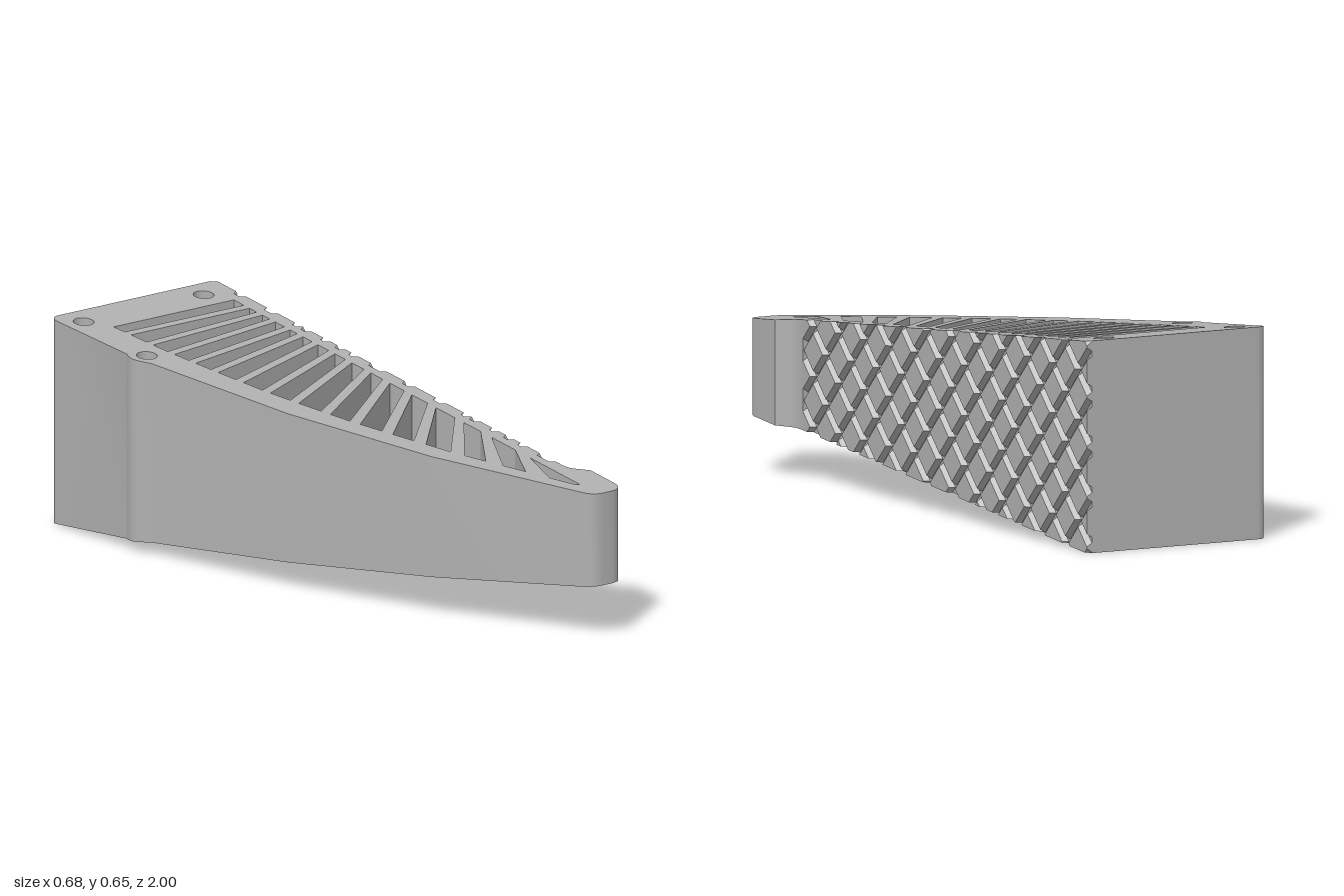
import * as THREE from 'three';
import { mergeGeometries, toCreasedNormals } from 'three/addons/utils/BufferGeometryUtils.js';
import { ConvexGeometry } from 'three/addons/geometries/ConvexGeometry.js';

const MID = 0.3275; // height of the symmetry plane
const half = z => 0.2375 - 0.09 * z; // half height, tapering towards the tip
const FACE = 0.29, GROOVE = 0.272; // grip surface and groove floor in x

// plan-view point: shape y is -z
const pt = ([x, z]) => new THREE.Vector2(x, -z);

// inner edge of the curved outer wall
const INNER = [[-0.22, -0.84], [-0.2, -0.6], [-0.175, -0.42], [-0.14, -0.2], [-0.1, -0.02],
  [-0.06, 0.14], [0, 0.33], [0.065, 0.52], [0.125, 0.66], [0.175, 0.78], [0.228, 0.905]];
function innerX(z) {
  let i = 0;
  while (i < INNER.length - 2 && z > INNER[i + 1][1]) i++;
  const [a, b] = [INNER[i], INNER[i + 1]];
  return a[0] + (b[0] - a[0]) * (z - a[1]) / (b[1] - a[1]);
}

// ribs: z at the outer wall and z at the grip wall
const RIBS = [[-0.775, -0.775], [-0.675, -0.71], [-0.58, -0.645], [-0.49, -0.57], [-0.395, -0.505],
  [-0.29, -0.43], [-0.18, -0.345], [-0.07, -0.26], [0.05, -0.165], [0.16, -0.07], [0.275, 0.04],
  [0.39, 0.16], [0.52, 0.3], [0.64, 0.435], [0.78, 0.62]];

function bodyShape() {
  const s = new THREE.Shape();
  s.moveTo(GROOVE, 1);
  s.lineTo(-0.31, 1);
  s.quadraticCurveTo(-0.345, 1, -0.344, 0.96); // rounded back corner
  s.lineTo(-0.322, 0.64);
  s.quadraticCurveTo(-0.34, 0.6, -0.325, 0.575); // boss around the side hole
  s.lineTo(-0.303, 0.535);
  s.lineTo(-0.19, 0);
  s.lineTo(-0.02, -0.5);
  s.lineTo(0.205, -0.965);
  s.quadraticCurveTo(0.22, -0.998, 0.255, -1); // rounded tip
  s.lineTo(0.295, -1);
  s.quadraticCurveTo(0.34, -0.995, 0.34, -0.95);
  s.lineTo(0.34, -0.83);
  s.lineTo(0.305, -0.795);
  s.quadraticCurveTo(FACE, -0.78, FACE, -0.745);
  s.lineTo(GROOVE, -0.745);
  s.closePath();

  // screw holes
  for (const [x, z] of [[-0.275, -0.92], [0.185, -0.92], [-0.275, -0.6]])
    s.holes.push(new THREE.Path().absarc(x, -z, 0.032, 0, Math.PI * 2, true));

  // openings between neighbouring ribs
  const R = 0.24, n = RIBS.length;
  const t = RIBS.map(([l, r]) => 0.0145 * Math.hypot(1, (l - r) / (R - innerX(l))));
  for (let i = 0; i <= n; i++) {
    const l0 = i ? RIBS[i - 1][0] + t[i - 1] : -0.84;
    const r0 = i ? RIBS[i - 1][1] + t[i - 1] : -0.84;
    const l1 = i < n ? RIBS[i][0] - t[i] : 0.905;
    const r1 = i < n ? RIBS[i][1] - t[i] : 0.91;
    s.holes.push(new THREE.Path([[innerX(l0), l0], [R, r0], [R, r1], [innerX(l1), l1]].map(pt)));
  }
  return s;
}

function bodyGeometry() {
  const g = new THREE.ExtrudeGeometry(bodyShape(), { depth: 1, bevelEnabled: false, curveSegments: 10 });
  g.rotateX(-Math.PI / 2);
  const p = g.attributes.position;
  for (let i = 0; i < p.count; i++) // taper in height along z
    p.setY(i, MID + (p.getY(i) * 2 - 1) * half(p.getZ(i)));
  return toCreasedNormals(g, 0.45);
}

// limits of the grip surface, positive inside; points are [z, height above MID]
const LIMITS = [([z]) => z + 1, ([z]) => 0.745 - z,
  ([z, y]) => half(z) - y, ([z, y]) => half(z) + y];
function clip(poly) {
  for (const f of LIMITS) {
    const out = [];
    poly.forEach((a, i) => {
      const b = poly[(i + 1) % poly.length], fa = f(a), fb = f(b);
      if (fa >= 0) out.push(a);
      if (fa * fb < 0) {
        const k = fa / (fa - fb);
        out.push([a[0] + (b[0] - a[0]) * k, a[1] + (b[1] - a[1]) * k]);
      }
    });
    poly = out;
  }
  return poly;
}
function area(poly) {
  return Math.abs(poly.reduce((sum, a, i) => {
    const b = poly[(i + 1) % poly.length];
    return sum + a[0] * b[1] - a[1] * b[0];
  }, 0)) / 2;
}

// raised diamonds left between two families of diagonal grooves
function gripGeometry() {
  const P = 0.155, pads = [];
  const diamond = (z, y, r) => clip([[z + r, y], [z, y + r], [z - r, y], [z, y - r]]);
  for (let i = 0; i < 26; i++) {
    for (let j = -6; j <= 6; j++) {
      if ((i + j) % 2) continue;
      const z = 0.76 - i * P / 2, y = j * P / 2;
      const base = diamond(z, y, P / 2 - 0.008), top = diamond(z, y, P / 2 - 0.02);
      if (area(base) < 1e-4 || area(top) < 1e-4) continue;
      pads.push(new ConvexGeometry([
        ...base.map(([a, b]) => new THREE.Vector3(GROOVE - 0.001, MID + b, a)),
        ...top.map(([a, b]) => new THREE.Vector3(FACE, MID + b, a))]));
    }
  }
  return mergeGeometries(pads);
}

export function createModel() {
  const grey = new THREE.MeshStandardMaterial({ color: 0xb0b0b0 });
  grey.name = 'grey plastic';
  const group = new THREE.Group();
  group.name = 'ribbedGripperFinger';
  const add = (name, geometry) => {
    const mesh = new THREE.Mesh(geometry, grey);
    mesh.name = name;
    group.add(mesh);
  };
  add('ribbedBody', bodyGeometry());
  add('diamondGripSurface', gripGeometry());
  return group;
}
